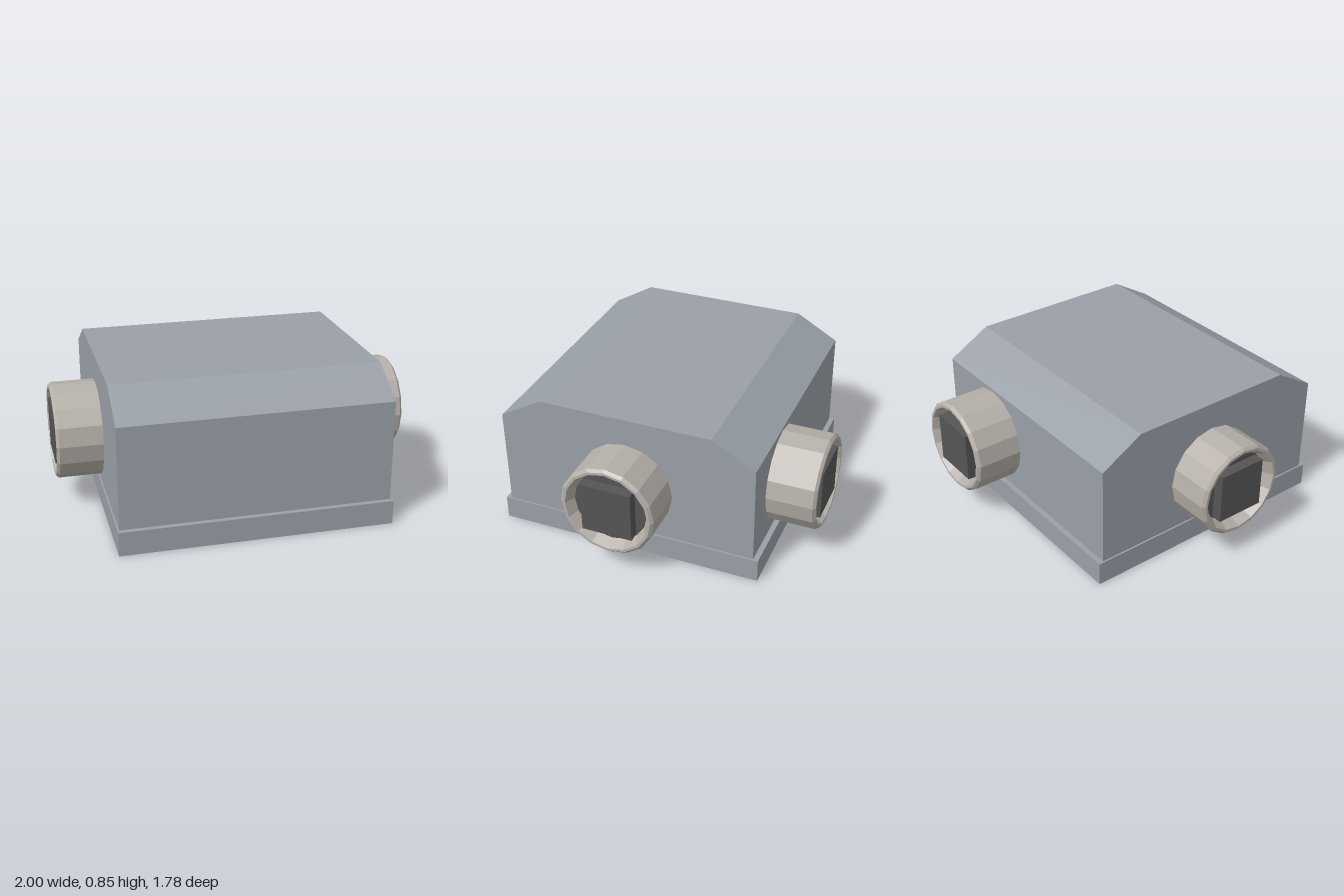
import * as THREE from 'three';

const mat = (color) => new THREE.MeshStandardMaterial({ color, flatShading: true });

export function createModel() {
  const model = new THREE.Group();
  const paint = mat(0x9aa0a8);
  const metal = mat(0xb5afa8);
  const dark = mat(0x555555);
  metal.side = THREE.DoubleSide;

  const add = (parent, name, geometry, material, x = 0, y = 0, z = 0) => {
    const mesh = new THREE.Mesh(geometry, material);
    mesh.name = name;
    mesh.position.set(x, y, z);
    parent.add(mesh);
    return mesh;
  };

  // Base plate, slightly wider than the housing
  add(model, 'basePlate', new THREE.BoxGeometry(1.51, 0.135, 1.535), paint, 0, 0.0675, 0.122);

  // Housing: side profile with chamfered top edges, extruded along x
  const profile = new THREE.Shape([
    [-0.86, 0.13], [0.615, 0.13], [0.615, 0.705], [0.37, 0.845], [-0.62, 0.845], [-0.86, 0.705],
  ].map(([u, v]) => new THREE.Vector2(u, v)));
  const housing = new THREE.ExtrudeGeometry(profile, { depth: 1.49, bevelEnabled: false });
  housing.translate(0, 0, -0.745).rotateY(Math.PI / 2);
  add(model, 'housing', housing, paint);

  // Conduit port: bevelled collar, sloping recess and square plug, pointing along +y
  const collarProfile = [
    [0.27, -0.02], [0.27, 0.24], [0.255, 0.255], [0.24, 0.255], [0.21, 0.195],
  ].map(([r, h]) => new THREE.Vector2(r, h));
  const addPort = (name, length) => {
    const port = new THREE.Group();
    port.name = name;
    const points = collarProfile.map((p) => new THREE.Vector2(p.x, p.y + length - 0.255));
    add(port, 'collar', new THREE.LatheGeometry(points, 16), metal);
    add(port, 'plugDisc', new THREE.CylinderGeometry(0.212, 0.212, 0.02, 16), dark, 0, length - 0.07, 0);
    add(port, 'squarePlug', new THREE.BoxGeometry(0.288, 0.07, 0.288), dark, 0, length - 0.035, 0);
    model.add(port);
    return port;
  };

  // One port on each side
  for (const s of [1, -1]) {
    const port = addPort(s > 0 ? 'leftPort' : 'rightPort', 0.255);
    port.position.set(s * 0.745, 0.42, 0.122);
    port.rotation.z = -s * Math.PI / 2;
  }

  // One offset port on the back
  const back = addPort('backPort', 0.275);
  back.position.set(0.3, 0.42, -0.615);
  back.rotation.x = -Math.PI / 2;

  return model;
}
